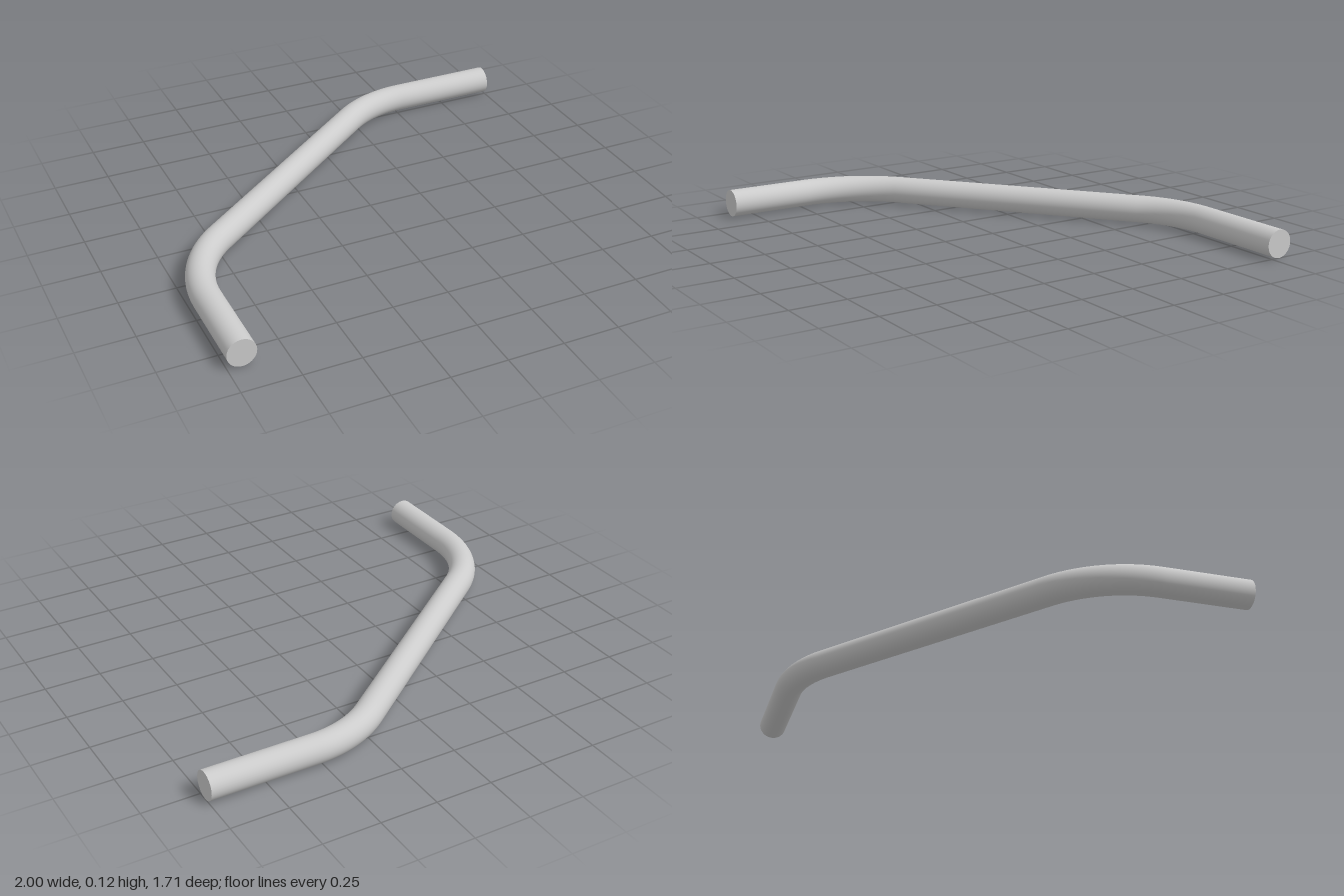
import * as THREE from 'three';

const R = 0.0625;       // pipe radius
const BEND = 0.52;      // centreline bend radius
const SLOPE = THREE.MathUtils.degToRad(38); // diagonal run against the x axis
const X0 = -1 + R, Z1 = -0.79, END = 0.8525;

// Lifts a plan path (x, z) to pipe height
class PlanCurve extends THREE.Curve {
  constructor(path) {
    super();
    this.path = path;
  }
  getPoint(t, target = new THREE.Vector3()) {
    const p = this.path.getPoint(t);
    return target.set(p.x, R, p.y);
  }
}

export function createModel() {
  const group = new THREE.Group();
  group.name = 'bentPipe';
  const material = new THREE.MeshStandardMaterial({ color: 0xcccccc });

  // Centreline: straight, bend, diagonal, bend, straight
  const cornerZ = 0.213;
  const cornerX = X0 + (cornerZ - Z1) / Math.tan(SLOPE);
  const t1 = BEND * Math.tan((Math.PI / 2 - SLOPE) / 2);
  const t2 = BEND * Math.tan(SLOPE / 2);
  const mid = Math.PI * 1.5 - SLOPE;
  const path = new THREE.Path();
  path.moveTo(X0, END);
  path.lineTo(X0, cornerZ + t1);
  path.absarc(X0 + BEND, cornerZ + t1, BEND, Math.PI, mid, false);
  path.absarc(cornerX + t2, Z1 + BEND, BEND, mid, Math.PI * 1.5, false);
  path.lineTo(1, Z1);

  const curve = new PlanCurve(path);
  curve.arcLengthDivisions = 600;
  const pipe = new THREE.Mesh(new THREE.TubeGeometry(curve, 180, R, 48, false), material);
  pipe.name = 'pipe';
  group.add(pipe);

  // Flat end caps
  const addCap = (name, x, z, turn) => {
    const cap = new THREE.Mesh(new THREE.CircleGeometry(R, 48), material);
    cap.name = name;
    cap.position.set(x, R, z);
    cap.rotation.y = turn;
    group.add(cap);
  };
  addCap('frontCap', X0, END, 0);
  addCap('leftCap', 1, Z1, Math.PI / 2);
  return group;
}
